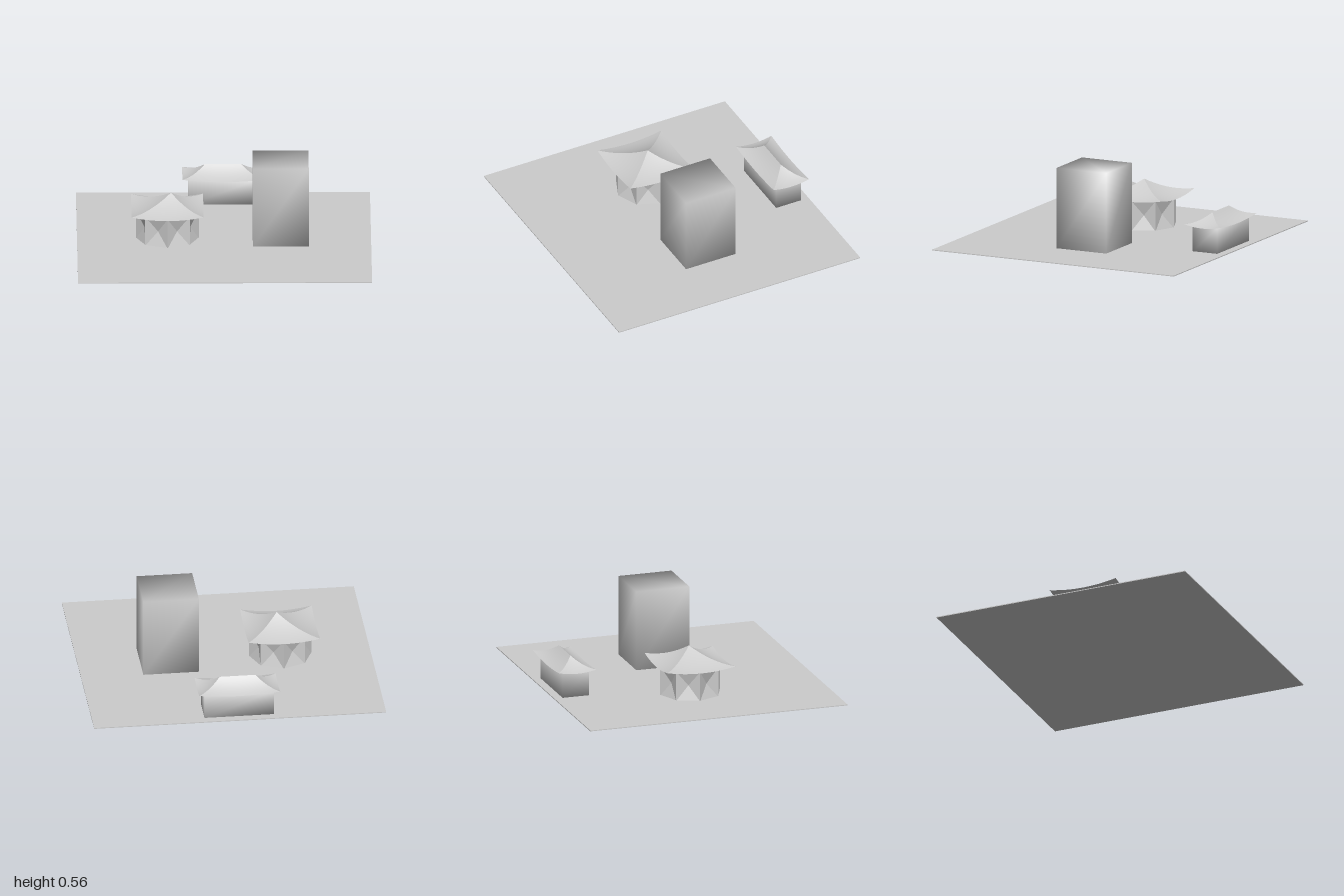
import * as THREE from 'three';
import { mergeVertices } from 'three/addons/utils/BufferGeometryUtils.js';

const grey = new THREE.MeshStandardMaterial({ color: 0xcccccc });
grey.name = 'plainGrey';
const shellGrey = new THREE.MeshStandardMaterial({ color: 0xcccccc, side: THREE.DoubleSide });
shellGrey.name = 'roofGrey';

function add(parent, name, geometry, material = grey) {
  const mesh = new THREE.Mesh(geometry, material);
  mesh.name = name;
  parent.add(mesh);
  return mesh;
}

// Box with normals shared across its corners, giving soft shading
function softBox(w, h, d) {
  const box = new THREE.BoxGeometry(w, h, d);
  box.deleteAttribute('normal');
  box.deleteAttribute('uv');
  const soft = mergeVertices(box);
  soft.computeVertexNormals();
  return soft;
}

function meshFrom(points, index) {
  const g = new THREE.BufferGeometry();
  g.setAttribute('position', new THREE.Float32BufferAttribute(points, 3));
  g.setIndex(index);
  g.computeVertexNormals();
  return g;
}

// Thin sweeping hip roof: four concave slopes from raised eave corners to a ridge or peak
function sweptRoof({ w, d, ridge, peakX, eave, lift, top }) {
  const rows = 10, cols = 12, points = [], index = [];
  for (let side = 0; side < 4; side++) {
    const start = points.length / 3;
    for (let r = 0; r <= rows; r++) {
      const t = r / rows;
      const hx = THREE.MathUtils.lerp(w / 2, ridge / 2, t);
      const hz = d / 2 * (1 - t);
      for (let c = 0; c <= cols; c++) {
        const u = c / cols * 2 - 1;
        const [x, z] = [[u * hx, hz], [hx, -u * hz], [-u * hx, -hz], [-hx, u * hz]][side];
        const y = eave + (top - eave) * (0.4 * t + 0.6 * t * t)
          + lift * u * u * (1 - t) * (1 - t);
        points.push(x + peakX * t, y, z);
      }
    }
    for (let r = 0; r < rows; r++) {
      for (let c = 0; c < cols; c++) {
        const a = start + r * (cols + 1) + c, b = a + cols + 1;
        index.push(a, a + 1, b + 1, a, b + 1, b);
      }
    }
  }
  return meshFrom(points, index);
}

// Octagonal wall whose eight panels are shallow four-sided recesses
function panelledWall(radius, height, recess) {
  const points = [], index = [];
  const corner = (i) => [radius * Math.cos(i * Math.PI / 4), radius * Math.sin(i * Math.PI / 4)];
  for (let i = 0; i < 8; i++) {
    const [x0, z0] = corner(i), [x1, z1] = corner(i + 1);
    const mid = (i + 0.5) * Math.PI / 4;
    const inner = radius * Math.cos(Math.PI / 8) - recess;
    const ring = [[x1, 0, z1], [x0, 0, z0], [x0, height, z0], [x1, height, z1]];
    const hub = [inner * Math.cos(mid), height / 2, inner * Math.sin(mid)];
    for (let k = 0; k < 4; k++) {
      const n = points.length / 3;
      points.push(...ring[k], ...ring[(k + 1) % 4], ...hub);
      index.push(n, n + 1, n + 2);
    }
  }
  return meshFrom(points, index);
}

export function createModel() {
  const model = new THREE.Group();
  model.name = 'courtyard';

  add(model, 'ground', new THREE.BoxGeometry(2, 0.006, 1.846)).position.y = 0.003;

  // Tall plain block
  add(model, 'tower', softBox(0.38, 0.56, 0.38)).position.set(0.385, 0.285, 0);

  // Octagonal pavilion with a pointed roof
  const pavilion = new THREE.Group();
  pavilion.name = 'pavilion';
  pavilion.position.set(-0.385, 0, 0);
  add(pavilion, 'pavilionWall', panelledWall(0.215, 0.21, 0.03), shellGrey);
  add(pavilion, 'pavilionRoof', sweptRoof({
    w: 0.49, d: 0.49, ridge: 0, peakX: 0.025, eave: 0.21, lift: 0.026, top: 0.33,
  }), shellGrey);
  model.add(pavilion);

  // Long hall with a ridged roof
  const hall = new THREE.Group();
  hall.name = 'hall';
  hall.position.set(0, 0, -0.77);
  add(hall, 'hallWall', softBox(0.475, 0.18, 0.19)).position.y = 0.093;
  add(hall, 'hallRoof', sweptRoof({
    w: 0.555, d: 0.27, ridge: 0.245, peakX: 0, eave: 0.18, lift: 0.017, top: 0.265,
  }), shellGrey);
  model.add(hall);

  return model;
}
